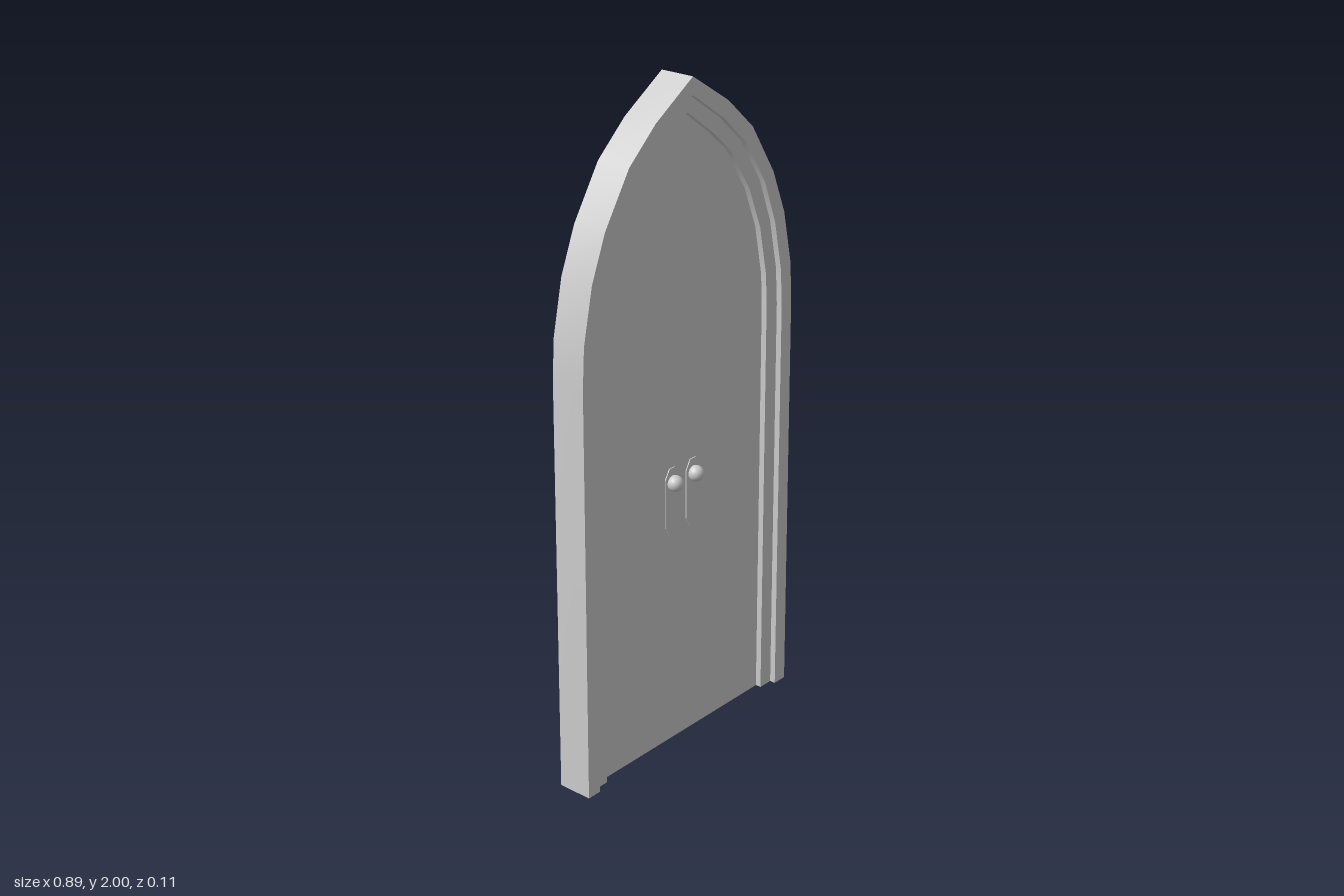
import * as THREE from 'three';
import { toCreasedNormals } from 'three/addons/utils/BufferGeometryUtils.js';

const material = new THREE.MeshStandardMaterial({ color: 0xcccccc });

// Right halves of the three nested pointed arches, from the foot to the apex
const OUTER = [[0.447, 0], [0.441, 1.25], [0.434, 1.37], [0.4, 1.53], [0.348, 1.66], [0.253, 1.81], [0.148, 1.905], [0, 2]];
const MIDDLE = [[0.4, 0], [0.397, 1.25], [0.39, 1.36], [0.359, 1.51], [0.31, 1.64], [0.222, 1.775], [0.13, 1.86], [0, 1.95]];
const INNER = [[0.352, 0], [0.35, 1.25], [0.345, 1.35], [0.315, 1.5], [0.265, 1.625], [0.182, 1.755], [0.11, 1.818], [0, 1.9]];

// Mirror a half profile into the full arch, right foot to left foot
function arch(half) {
  const left = half.slice(0, -1).reverse().map(([x, y]) => [-x, y]);
  return [...half, ...left].map(([x, y]) => new THREE.Vector2(x, y));
}

// Extrude an outline to +/- halfDepth, keeping sharp corners crisp
function slab(name, points, halfDepth) {
  const geometry = new THREE.ExtrudeGeometry(new THREE.Shape(points), { depth: 2 * halfDepth, bevelEnabled: false });
  geometry.translate(0, 0, -halfDepth);
  const mesh = new THREE.Mesh(toCreasedNormals(geometry, Math.PI / 6), material);
  mesh.name = name;
  return mesh;
}

export function createModel() {
  const door = new THREE.Group();
  door.name = 'archedDoor';

  // Stepped frame around a thin panel
  door.add(slab('outerFrame', [...arch(OUTER), ...arch(MIDDLE).reverse()], 0.054));
  door.add(slab('innerFrame', [...arch(MIDDLE), ...arch(INNER).reverse()], 0.036));
  door.add(slab('doorPanel', arch(INNER), 0.018));

  // Chamfered handle plates run through the panel, with a knob on each face
  const plate = [[0.03, 0.7], [0.03, 0.85], [0.012, 0.88], [-0.012, 0.88],
    [-0.03, 0.85], [-0.03, 0.7], [-0.012, 0.67], [0.012, 0.67]];
  const knobGeometry = new THREE.SphereGeometry(0.024, 20, 14);
  for (const side of [-1, 1]) {
    const x = side * 0.045;
    door.add(slab('handlePlate', plate.map(([px, py]) => new THREE.Vector2(px + x, py)), 0.021));
    for (const face of [-1, 1]) {
      const knob = new THREE.Mesh(knobGeometry, material);
      knob.name = 'knob';
      knob.position.set(x, 0.835, face * 0.031);
      door.add(knob);
    }
  }
  return door;
}
